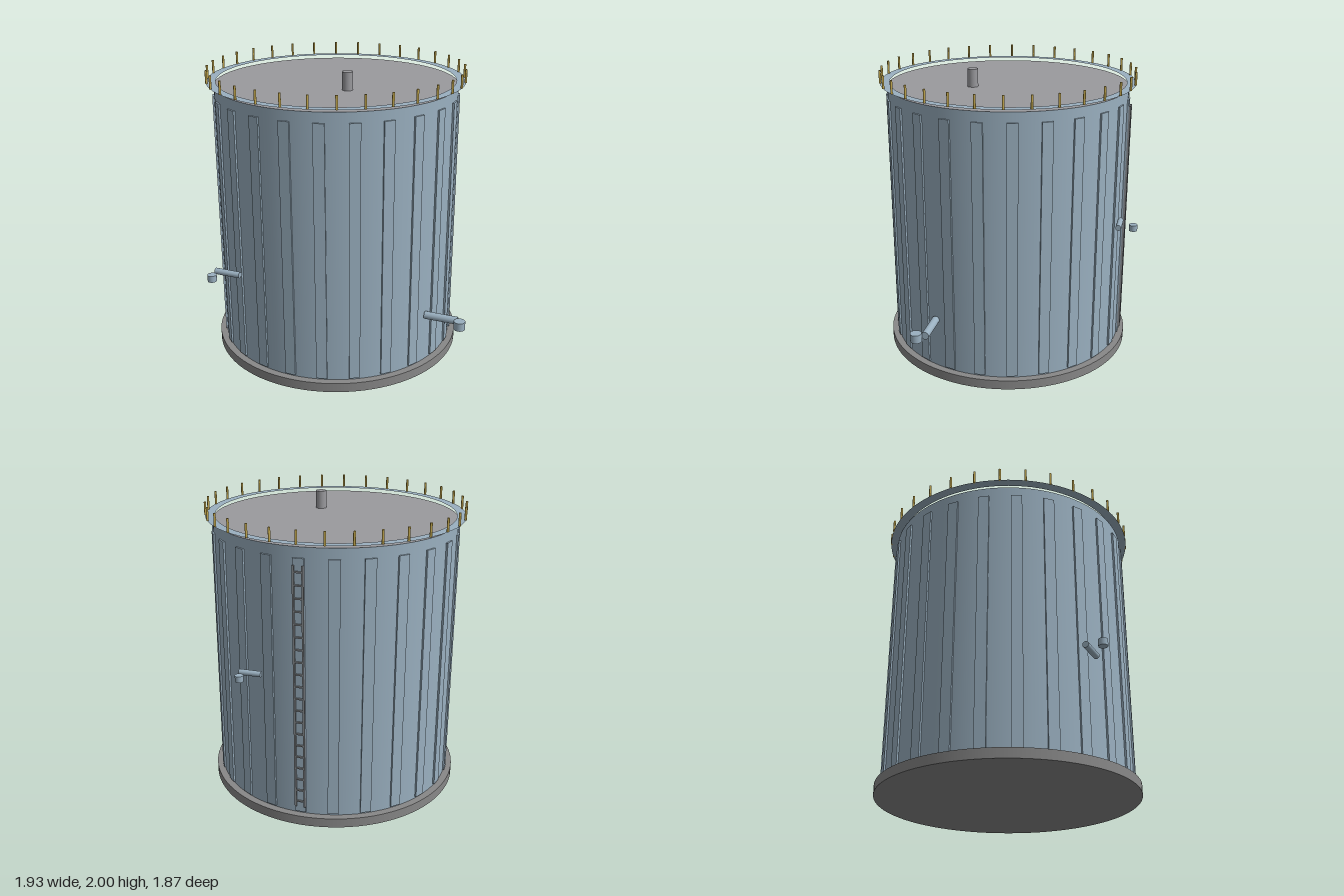
import * as THREE from 'three';

const mat = (color, side = THREE.FrontSide) => new THREE.MeshStandardMaterial({ color, side });

export function createModel() {
  const root = new THREE.Group();
  const steel = mat(0x9ab0c0), concrete = mat(0x888888), roofGrey = mat(0x9a9a9e);
  const yellow = mat(0xc8ac50), ladderGrey = mat(0x888c90);

  const add = (parent, name, geometry, material, x = 0, y = 0, z = 0) => {
    const mesh = new THREE.Mesh(geometry, material);
    mesh.name = name;
    mesh.position.set(x, y, z);
    parent.add(mesh);
    return mesh;
  };
  const group = (name, parent = root) => {
    const g = new THREE.Group();
    g.name = name;
    parent.add(g);
    return g;
  };
  // Cylinder standing between two heights
  const upright = (parent, name, r, y0, y1, material, x = 0, z = 0, sides = 32) =>
    add(parent, name, new THREE.CylinderGeometry(r, r, y1 - y0, sides), material, x, (y0 + y1) / 2, z);

  const tank = group('tank');
  tank.position.set(-0.095, 0, 0.015);

  // Foundation, shell and roof
  upright(tank, 'foundation', 0.868, 0, 0.065, concrete, 0, 0, 96);
  add(tank, 'shell', new THREE.CylinderGeometry(0.82, 0.82, 1.815, 96, 1, true), steel, 0, 0.9725, 0);
  add(tank, 'roof', new THREE.CircleGeometry(0.82, 96), roofGrey, 0, 1.88, 0).rotation.x = -Math.PI / 2;
  upright(tank, 'roofVent', 0.036, 1.88, 2, roofGrey, 0.162, 0.205);

  // Vertical stiffeners around the shell
  const stiffeners = group('stiffeners', tank);
  const strip = new THREE.BoxGeometry(0.072, 1.735, 0.022);
  for (let i = 0; i < 24; i++) {
    const a = (i / 24) * Math.PI * 2;
    add(stiffeners, 'stiffener', strip, steel, Math.sin(a) * 0.82, 0.945, Math.cos(a) * 0.82).rotation.y = a;
  }

  // Flat walkway just above the roof edge, with its railing posts
  const walkway = new THREE.RingGeometry(0.805, 0.868, 96);
  add(tank, 'walkway', walkway, mat(0x9ab0c0, THREE.DoubleSide), 0, 1.905, 0).rotation.x = -Math.PI / 2;
  const posts = group('railingPosts', tank);
  for (let i = 0; i < 32; i++) {
    const a = (i / 32) * Math.PI * 2;
    upright(posts, 'railingPost', 0.008, 1.905, 1.992, yellow, Math.sin(a) * 0.865, Math.cos(a) * 0.865, 8);
  }

  // Ladder up the back
  const ladder = group('ladder', tank);
  ladder.position.z = -0.837;
  for (const s of [-1, 1])
    add(ladder, 'ladderRail', new THREE.BoxGeometry(0.012, 1.65, 0.016), ladderGrey, s * 0.03, 0.945, 0);
  for (let i = 0; i < 20; i++)
    add(ladder, 'ladderRung', new THREE.BoxGeometry(0.06, 0.01, 0.01), ladderGrey, 0, 0.16 + i * 0.0826, 0);

  // Side pipes, each with a separate upright valve
  const pipes = [
    { x0: -0.645, x1: -0.465, y: 0.72, z: 0.8, r: 0.021, valve: [-0.615, 0.9], vr: 0.03 },
    { x0: 0.67, x1: 0.895, y: 0.417, z: 0.335, r: 0.026, valve: [0.922, 0.386], vr: 0.038 },
    { x0: 0.155, x1: 0.3, y: 1.04, z: -0.818, r: 0.019, valve: [0.265, -0.912], vr: 0.027 },
  ];
  for (const p of pipes) {
    const g = group('pipeAndValve');
    const pipe = new THREE.CylinderGeometry(p.r, p.r, p.x1 - p.x0, 24).rotateZ(Math.PI / 2);
    add(g, 'pipe', pipe, steel, (p.x0 + p.x1) / 2, p.y, p.z);
    upright(g, 'valve', p.vr, p.y - p.vr * 0.75, p.y + p.vr * 0.75, steel, ...p.valve, 24);
  }
  return root;
}
